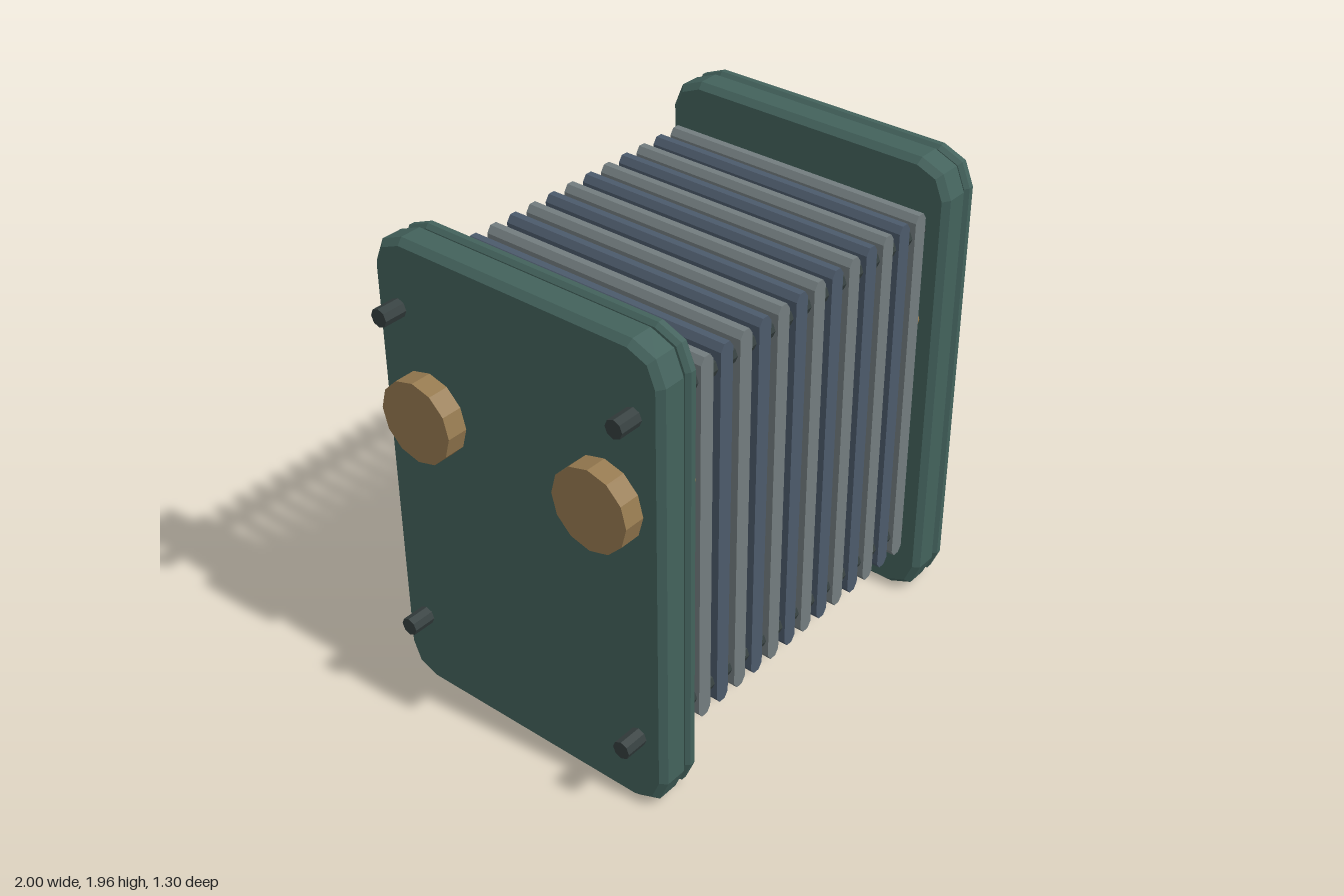
import * as THREE from 'three';

const mat = (name, color) => {
  const m = new THREE.MeshStandardMaterial({ color, flatShading: true });
  m.name = name;
  return m;
};

// Rounded rectangle outline with two straight facets per corner
function roundedRect(halfW, halfH, r) {
  const pts = [];
  const corners = [[1, 1], [-1, 1], [-1, -1], [1, -1]];
  corners.forEach(([sx, sy], c) => {
    for (let i = 0; i <= 2; i++) {
      const a = (c + i / 2) * Math.PI / 2;
      pts.push(new THREE.Vector2(sx * (halfW - r) + r * Math.cos(a), sy * (halfH - r) + r * Math.sin(a)));
    }
  });
  return new THREE.Shape(pts);
}

// Chamfered slab spanning x = 0..thickness
function slab(thickness, bevel) {
  const geo = new THREE.ExtrudeGeometry(roundedRect(0.65, 0.982, 0.135), {
    depth: thickness - 2 * bevel, bevelEnabled: true, bevelSegments: 1,
    bevelSize: bevel, bevelThickness: bevel, bevelOffset: -bevel,
  });
  return geo.translate(0, 0, bevel).rotateY(Math.PI / 2);
}

export function createModel() {
  const model = new THREE.Group();
  model.name = 'plateHeatExchanger';
  const green = mat('greenPaint', 0x43625c);
  const bronze = mat('bronze', 0x967a50);
  const blue = mat('blueSteel', 0x4c5a6b);
  const grey = mat('greySteel', 0x737d7f);
  const dark = mat('darkSteel', 0x353f3f);

  const add = (name, geo, material, x, y, z) => {
    const mesh = new THREE.Mesh(geo, material);
    mesh.name = name;
    mesh.position.set(x, y, z);
    model.add(mesh);
  };

  // End frames: a thick slab with a thin slab beside it
  const thick = slab(0.135, 0.024), thin = slab(0.052, 0.015);
  for (const [side, x] of [['right', -0.904], ['left', 0.715]]) {
    add(side + 'EndFrame', thick, green, x, 0.982, 0);
    add(side + 'EndFrameRim', thin, green, x + 0.135, 0.982, 0);
  }

  // Stack of transfer plates in alternating colours
  const hw = 0.0325, hh = 0.78, cx = 0.018, cy = 0.026;
  const section = new THREE.Shape([
    [hw, -hh + cy], [hw, hh - cy], [hw - cx, hh], [-hw + cx, hh],
    [-hw, hh - cy], [-hw, -hh + cy], [-hw + cx, -hh], [hw - cx, -hh],
  ].map(([x, y]) => new THREE.Vector2(x, y)));
  const plate = new THREE.ExtrudeGeometry(section, { depth: 1.16, bevelEnabled: false }).translate(0, 0, -0.58);
  for (let i = 0; i < 14; i++) {
    add('transferPlate' + (i + 1), plate, i % 2 ? grey : blue, -0.69 + i * 0.1036, 1.003, 0);
  }

  // Tie rods through the corners
  const rod = new THREE.CylinderGeometry(0.037, 0.037, 2, 8).rotateZ(Math.PI / 2);
  // Ports on both end frames
  const port = new THREE.CylinderGeometry(0.165, 0.165, 0.36, 12).rotateZ(Math.PI / 2);
  for (const s of [-1, 1]) {
    for (const y of [0.318, 1.69]) add('tieRod', rod, dark, 0, y, s * 0.533);
    for (const x of [-0.81, 0.81]) add('port', port, bronze, x, 1.305, s * 0.405);
  }
  return model;
}
